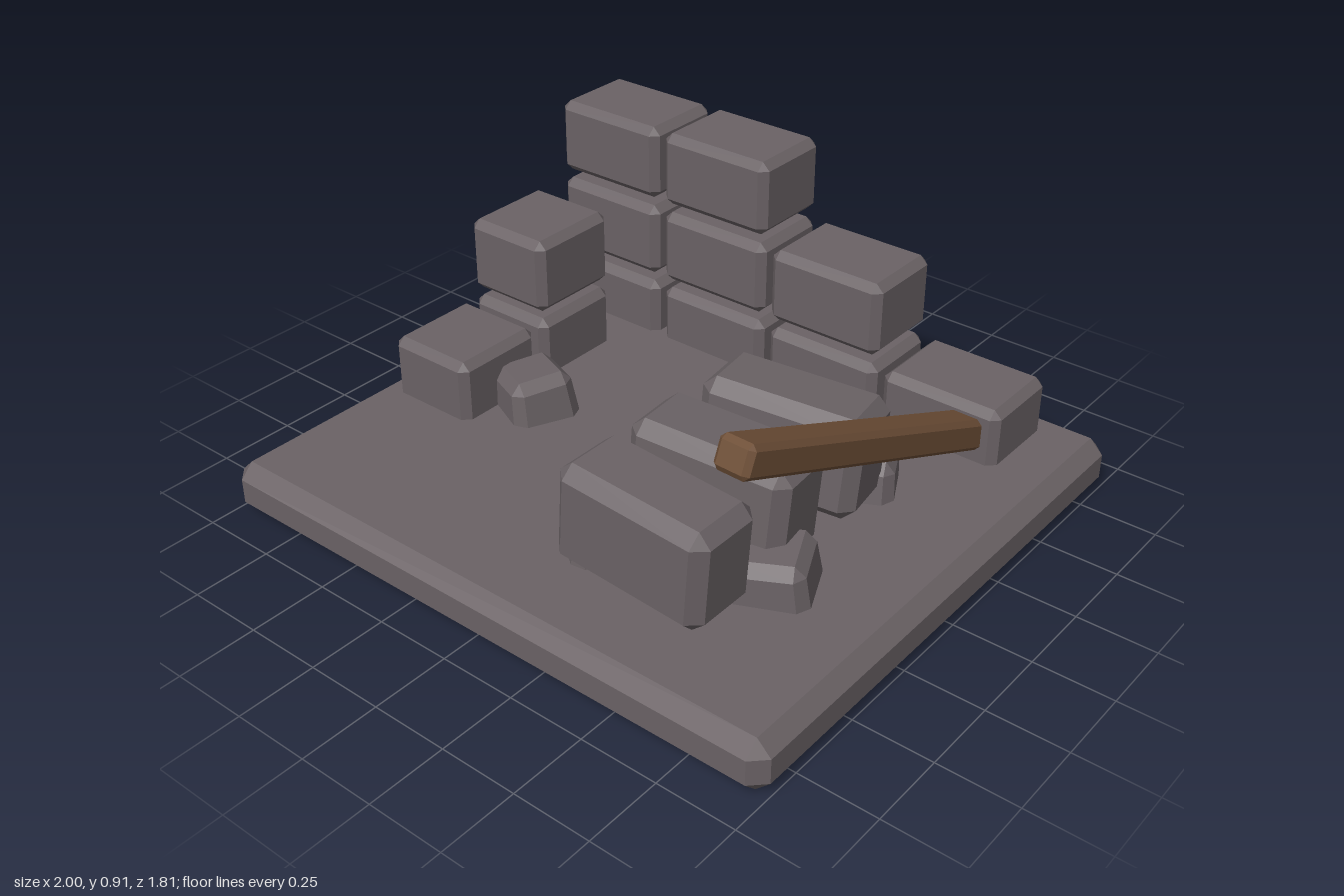
import * as THREE from 'three';
import { ConvexGeometry } from 'three/addons/geometries/ConvexGeometry.js';

const stone = new THREE.MeshStandardMaterial({ color: 0x6a6265 });
stone.name = 'stone';
const wood = new THREE.MeshStandardMaterial({ color: 0x6e4f37 });
wood.name = 'wood';

// Box with flat chamfers on every edge; taper shrinks the top
function chamferBox(w, h, d, c, taper = 1) {
  const pts = [];
  for (const sx of [-1, 1]) for (const sy of [-1, 1]) for (const sz of [-1, 1]) {
    const k = sy > 0 ? taper : 1;
    const x = w / 2, y = h / 2, z = d / 2;
    for (const [a, b, e] of [[x, y - c, z - c], [x - c, y, z - c], [x - c, y - c, z]]) {
      pts.push(new THREE.Vector3(sx * a * k, sy * b, sz * e * k));
    }
  }
  return new ConvexGeometry(pts);
}

export function createModel() {
  const model = new THREE.Group();

  function add(name, geometry, material, pos, rotDeg = [0, 0, 0]) {
    const mesh = new THREE.Mesh(geometry, material);
    mesh.name = name;
    mesh.position.set(...pos);
    mesh.rotation.set(...rotDeg.map(THREE.MathUtils.degToRad), 'YXZ');
    model.add(mesh);
    return mesh;
  }

  // Ground slab
  add('baseSlab', chamferBox(2, 0.17, 1.81, 0.045), stone, [0, 0.085, 0]);

  // Back wall, stepping down towards the right
  const wallBlock = chamferBox(0.412, 0.248, 0.3, 0.026);
  [4, 3, 2].forEach((count, row) => {
    for (let i = 0; i < count; i++) {
      add('backWallBlock', wallBlock, stone, [-0.715 + i * 0.438, 0.231 + row * 0.278, -0.67]);
    }
  });

  // Short side wall: two blocks and one on top
  const sideBlock = chamferBox(0.316, 0.25, 0.33, 0.026);
  for (const [y, z] of [[0.243, 0.13], [0.243, -0.233], [0.52, -0.233]]) {
    add('sideWallBlock', sideBlock, stone, [-0.762, y, z]);
  }

  // Large fallen blocks lying across the rubble
  const fallenBlock = chamferBox(0.51, 0.325, 0.255, 0.04);
  add('fallenBlock', fallenBlock, stone, [0.39, 0.37, 0.575], [0, 0, -4]);
  add('fallenBlock', fallenBlock, stone, [0.39, 0.37, 0.27], [-3, 7, -3]);
  add('fallenBlock', fallenBlock, stone, [0.4, 0.37, -0.04], [-4, 11, -3]);

  // Small tapered rubble: x, z, width, depth, yaw, tilt, top height
  const rubble = [
    [-0.51, 0.08, 0.24, 0.23, -24, 4, 0.31],
    [0.61, 0.35, 0.28, 0.25, 25, 3, 0.305],
    [0.14, 0.5, 0.24, 0.22, -38, -4, 0.29],
    [0.11, -0.05, 0.25, 0.27, 28, 4, 0.305],
    [0.15, -0.365, 0.23, 0.22, 43, -3, 0.3],
    [0.32, -0.14, 0.25, 0.22, -18, 5, 0.3],
    [0.52, -0.2, 0.27, 0.22, 27, -4, 0.3],
  ];
  for (const [x, z, w, d, yaw, tilt, top] of rubble) {
    add('rubbleStone', chamferBox(w, 0.22, d, 0.035, 0.88), stone, [x, top - 0.115, z], [tilt, yaw, tilt]);
  }

  // Fallen beam leaning out of the back wall
  const beam = add('woodenBeam', chamferBox(0.115, 0.1, 1.3, 0.016), wood, [0.682, 0.482, 0]);
  beam.lookAt(0.647, 0.982, 1.2);

  return model;
}
